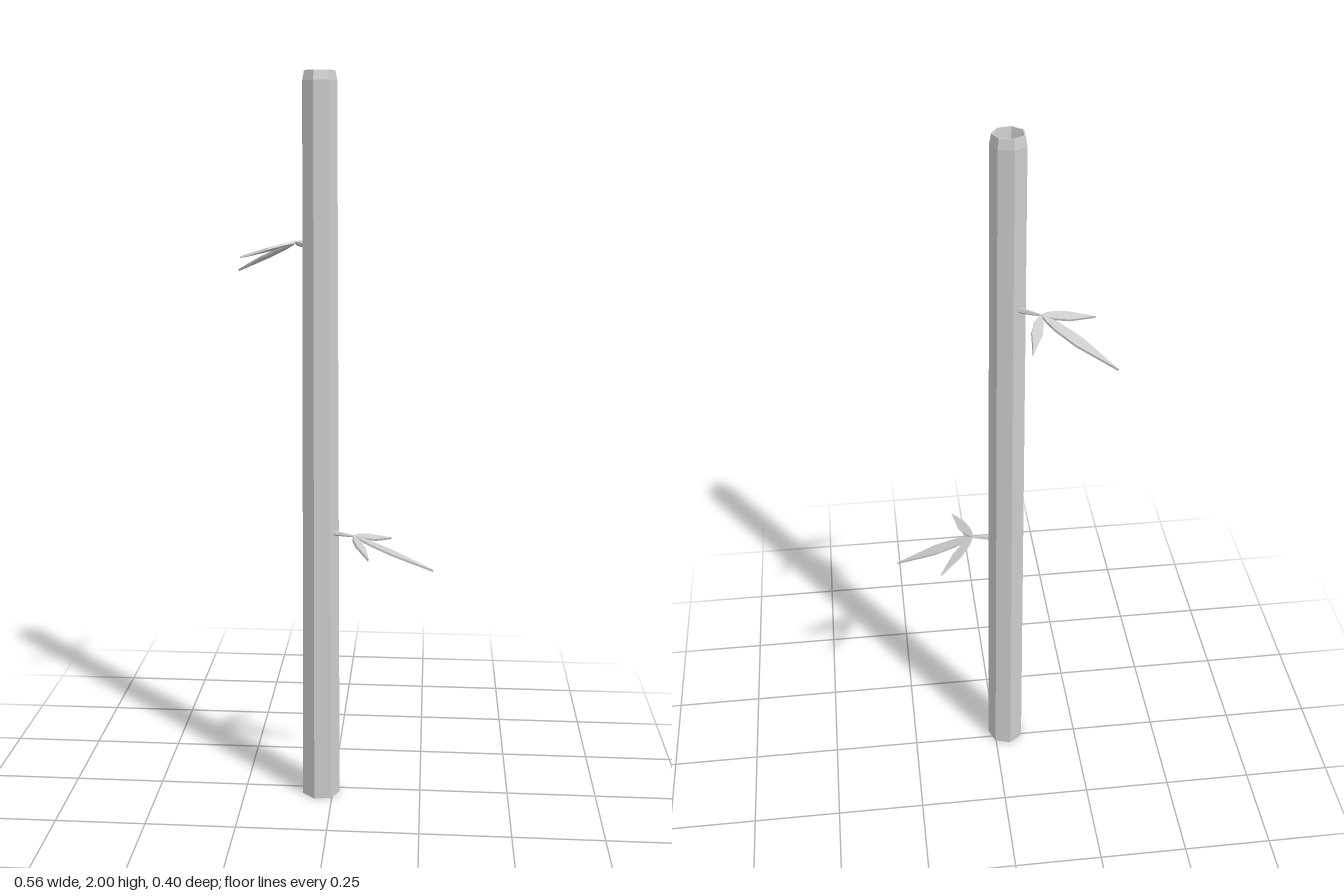
import * as THREE from 'three';

const material = new THREE.MeshStandardMaterial({ color: 0xcccccc, flatShading: true });

// Pointed leaf in the local xz plane, from the origin to (along, side)
function makeLeaf(name, along, side, halfWidth) {
  const length = Math.hypot(along, side);
  const rim = [[0.1, 0.5], [0.22, 0.85], [0.5, 1]];
  const shape = new THREE.Shape([
    new THREE.Vector2(0, 0),
    ...rim.map(([t, w]) => new THREE.Vector2(t * length, -w * halfWidth)),
    new THREE.Vector2(length, 0),
    ...rim.slice().reverse().map(([t, w]) => new THREE.Vector2(t * length, w * halfWidth)),
  ]);
  const thickness = 0.006;
  const geometry = new THREE.ExtrudeGeometry(shape, { depth: thickness, bevelEnabled: false });
  geometry.translate(0, 0, -thickness / 2);
  geometry.rotateX(Math.PI / 2);
  geometry.rotateY(-Math.atan2(side, along));
  const leaf = new THREE.Mesh(geometry, material);
  leaf.name = name;
  return leaf;
}

// Thin tapered twig carrying a drooping fan of three leaves
function makeBranch(name, root, end, heading) {
  const branch = new THREE.Group();
  branch.name = name;

  const direction = end.clone().sub(root);
  const twig = new THREE.Mesh(new THREE.CylinderGeometry(0.003, 0.008, direction.length(), 5), material);
  twig.name = 'twig';
  twig.position.copy(root).lerp(end, 0.5);
  twig.quaternion.setFromUnitVectors(new THREE.Vector3(0, 1, 0), direction.normalize());

  const fan = new THREE.Group();
  fan.name = 'leafFan';
  fan.position.copy(end);
  fan.rotation.set(0, heading, -0.39, 'YZX');
  fan.add(
    makeLeaf('middleLeaf', 0.235, 0, 0.019),
    makeLeaf('longSideLeaf', 0.1, -0.119, 0.015),
    makeLeaf('shortSideLeaf', 0.06, 0.138, 0.014),
  );
  branch.add(twig, fan);
  return branch;
}

export function createModel() {
  const model = new THREE.Group();
  model.name = 'bambooStalk';

  // Seven-sided tapering stalk with a chamfered rim and a hollow top
  const profile = [
    [0, 0], [0.054, 0], [0.046, 1.975], [0.041, 2], [0.037, 2], [0.03, 1.95], [0, 1.95],
  ].map(([r, y]) => new THREE.Vector2(r, y));
  const stalk = new THREE.Mesh(
    new THREE.LatheGeometry(profile, 7, THREE.MathUtils.degToRad(87)), material);
  stalk.name = 'stalk';
  stalk.position.set(-0.034, 0, 0.021);
  model.add(stalk);

  // Two branches on opposite sides
  model.add(
    makeBranch('lowerBranch', new THREE.Vector3(0, 0.781, 0.041),
      new THREE.Vector3(0.06, 0.777, 0.058), -0.064),
    makeBranch('upperBranch', new THREE.Vector3(-0.06, 1.552, -0.014),
      new THREE.Vector3(-0.105, 1.56, -0.057), Math.atan2(0.6, -0.8)),
  );
  return model;
}
